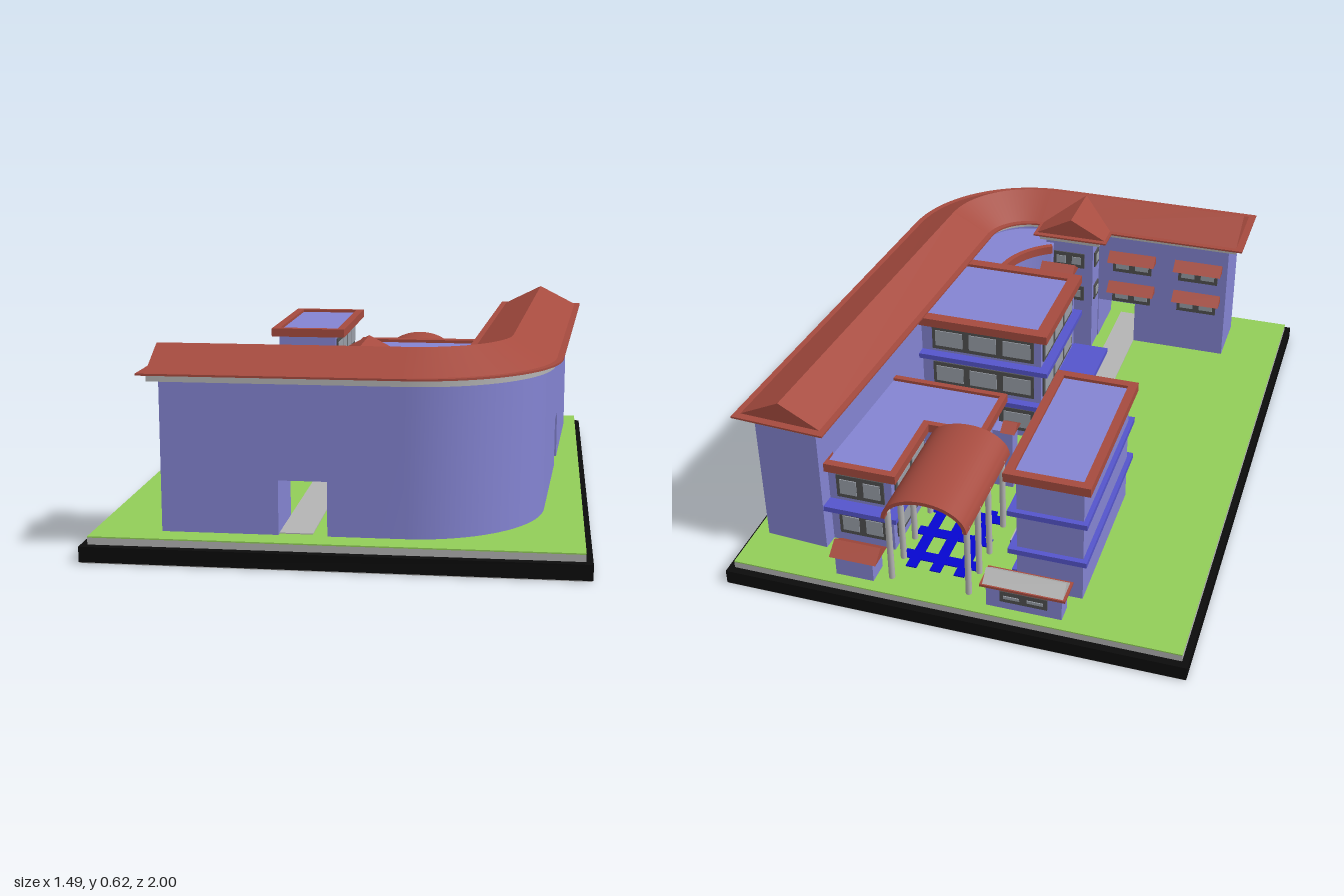
import * as THREE from 'three';
import { toCreasedNormals } from 'three/addons/utils/BufferGeometryUtils.js';

const mat = (name, color) => {
  const m = new THREE.MeshStandardMaterial({ color });
  m.name = name;
  return m;
};

export function createModel() {
  const root = new THREE.Group();
  const wall = mat('lavender wall', 0x8484d2), roof = mat('red roof', 0xa64b3f);
  const grass = mat('grass green', 0x92ce58), black = mat('black base', 0x0b0b0b);
  const grey = mat('concrete grey', 0xb4b4b4), ledgeBlue = mat('ledge blue', 0x5555cc);
  const paving = mat('bright blue', 0x0505d0), frame = mat('dark frame', 0x505050);
  const glass = mat('pale glass', 0x9a9fa8);
  const G = 0.075; // ground level

  const add = (name, geo, material, parent = root) => {
    const m = new THREE.Mesh(geo, material);
    m.name = name;
    parent.add(m);
    return m;
  };
  const box = (name, m, x0, x1, y0, y1, z0, z1) => add(name,
    new THREE.BoxGeometry(x1 - x0, y1 - y0, z1 - z0)
      .translate((x0 + x1) / 2, (y0 + y1) / 2, (z0 + z1) / 2), m);
  // horizontal slab from [x, z] outline, optional hole
  const toShape = pts => new THREE.Shape(pts.map(p => new THREE.Vector2(...p)));
  const slab = (name, m, pts, y0, y1, hole) => {
    const s = toShape(pts);
    if (hole) s.holes.push(toShape(hole));
    const g = new THREE.ExtrudeGeometry(s, { depth: y1 - y0, bevelEnabled: false });
    return add(name, toCreasedNormals(g.rotateX(Math.PI / 2).translate(0, y1, 0), 0.4), m);
  };
  const rect = (x0, x1, z0, z1) => [[x0, z0], [x1, z0], [x1, z1], [x0, z1]];
  const flatRoof = (name, outer, inner, y0, y1) => {
    slab(name + 'RoofRim', roof, outer, y0, y1, inner);
    slab(name + 'RoofDeck', wall, inner, y0, y1 - 0.01);
  };
  // gable prism, ridge along 'x' or 'z'
  const gable = (name, m, x0, x1, z0, z1, y0, y1, axis) => {
    const w = axis === 'z' ? x1 - x0 : z1 - z0, len = axis === 'z' ? z1 - z0 : x1 - x0;
    const g = new THREE.ExtrudeGeometry(toShape([[-w / 2, y0], [w / 2, y0], [0, y1]]),
      { depth: len, bevelEnabled: false }).translate(0, 0, -len / 2);
    if (axis === 'x') g.rotateY(Math.PI / 2);
    return add(name, g.translate((x0 + x1) / 2, 0, (z0 + z1) / 2), m);
  };
  // row of framed windows on a wall facing +-x or +-z
  const windows = (axis, at, dir, a0, a1, y0, y1, n) => {
    const plate = (name, m, b0, b1, c0, c1, d) => {
      const p0 = Math.min(at, at + dir * d), p1 = Math.max(at, at + dir * d);
      if (axis === 'x') box(name, m, p0, p1, c0, c1, b0, b1);
      else box(name, m, b0, b1, c0, c1, p0, p1);
    };
    plate('windowFrame', frame, a0, a1, y0, y1, 0.005);
    const step = (a1 - a0) / n;
    for (let i = 0; i < n; i++)
      plate('windowPane', glass, a0 + i * step + 0.012, a0 + (i + 1) * step - 0.012, y0 + 0.015, y1 - 0.015, 0.008);
  };

  // site
  box('base', black, -0.745, 0.745, 0.003, 0.05, -1, 1);
  box('baseUnderside', grey, -0.743, 0.743, 0, 0.003, -0.998, 0.998);
  box('siteSlab', grey, -0.725, 0.725, 0.05, 0.071, -0.975, 0.975);
  box('lawn', grass, -0.725, 0.725, 0.071, G, -0.975, 0.975);
  box('path', grey, -0.17, -0.07, G, 0.078, -0.26, 0.88);
  box('pathBranch', grey, -0.07, 0, G, 0.078, -0.26, -0.2);
  for (const x of [0.0, 0.08, 0.16]) box('paving', paving, x, x + 0.035, G, 0.079, -0.84, -0.5);
  for (const z of [-0.8, -0.68, -0.56]) box('pavingBand', paving, -0.03, 0.22, G, 0.0785, z, z + 0.04);

  // long wing: a straight run, a rounded corner and a slightly splayed arm
  const L1 = 0.775, R = 0.3, TILT = 0.057, SWEEP = Math.PI / 2 - TILT, L2 = L1 + R * SWEEP, END = L2 + 1.38;
  const station = s => {
    const a = s < L1 ? Math.PI / 2 : Math.PI / 2 - Math.min((s - L1) / R, SWEEP);
    const n = [Math.cos(a), Math.sin(a)];
    const run = s < L1 ? s - L1 : Math.max(0, s - L2);
    return { p: [0.2 + R * n[0] + run * n[1], 0.49 + R * n[1] - run * n[0]], n };
  };
  const sweep = (name, m, s0, s1, profile) => {
    const stops = [s0];
    for (let i = 0; i <= 20; i++) {
      const s = L1 + (L2 - L1) * i / 20;
      if (s > s0 && s < s1) stops.push(s);
    }
    stops.push(s1);
    const rings = stops.map(s => {
      const { p, n } = station(s);
      return profile.map(([o, y]) => [p[0] + n[0] * o, y, p[1] + n[1] * o]);
    });
    const v = [], tri = (...c) => c.forEach(q => v.push(...q)), k = profile.length;
    for (let i = 0; i < rings.length - 1; i++) for (let j = 0; j < k; j++) {
      const a = rings[i], b = rings[i + 1], j2 = (j + 1) % k;
      tri(a[j], b[j], b[j2]);
      tri(a[j], b[j2], a[j2]);
    }
    const first = rings[0], last = rings[rings.length - 1];
    for (let j = 1; j < k - 1; j++) {
      tri(first[0], first[j], first[j + 1]);
      tri(last[0], last[j + 1], last[j]);
    }
    const g = new THREE.BufferGeometry();
    g.setAttribute('position', new THREE.Float32BufferAttribute(v, 3));
    return add(name, toCreasedNormals(g, 0.3), m);
  };
  const band = (w, y0, y1) => [[-w, y0], [w, y0], [w, y1], [-w, y1]];
  const gates = [[0.405, 0.55], [1.823, 1.968]], W0 = 0.055, W1 = END - 0.05;
  let from = W0;
  for (const [g0, g1] of gates) {
    sweep('wingWall', wall, from, g0, band(0.105, G, 0.53));
    sweep('gateLintel', wall, g0, g1, band(0.105, 0.24, 0.53));
    from = g1;
  }
  sweep('wingWall', wall, from, W1, band(0.105, G, 0.53));
  sweep('wingCornice', grey, 0.025, END - 0.025, band(0.13, 0.53, 0.551));
  sweep('wingEaves', roof, 0, END, band(0.155, 0.551, 0.557));
  sweep('wingRoof', roof, 0.025, END - 0.025, [[-0.135, 0.557], [0.135, 0.557], [0, 0.625]]);

  // courtyard windows with awnings on the front wing
  for (const x of [-0.41, -0.155]) for (const y of [0.44, 0.31]) {
    windows('z', 0.685, -1, x - 0.075, x + 0.075, y - 0.065, y - 0.008, 2);
    gable('awning', roof, x - 0.09, x + 0.09, 0.64, 0.72, y - 0.01, y + 0.022, 'x');
  }

  // projecting stair bay with cross gable
  box('bayWall', wall, -0.022, 0.16, G, 0.53, 0.59, 0.7);
  box('bayCornice', grey, -0.05, 0.18, 0.53, 0.551, 0.57, 0.7);
  box('bayEaves', roof, -0.08, 0.2, 0.551, 0.557, 0.55, 0.72);
  gable('bayGable', roof, -0.07, 0.19, 0.57, 0.79, 0.557, 0.625, 'z');
  for (const y of [0.42, 0.28]) {
    windows('x', -0.022, -1, 0.61, 0.665, y, y + 0.06, 1);
    windows('z', 0.59, -1, 0.01, 0.13, y, y + 0.06, 2);
  }

  // curved infill block in the inner corner
  const arc = r => Array.from({ length: 13 }, (_, i) => {
    const a = i / 12 * 1.05;
    return [r * Math.cos(a), 0.33 + r * Math.sin(a)];
  });
  const corner = r => [...arc(r), [0.14, 0.7], [0.4, 0.68], [0.44, 0.33]];
  slab('curvedBlock', wall, corner(0.262), G, 0.49);
  slab('curvedDeck', wall, corner(0.255), 0.49, 0.51);
  slab('curvedRim', roof, [...arc(0.265), ...arc(0.245).reverse()], 0.49, 0.52);
  slab('curvedLedge', ledgeBlue, corner(0.245), 0.36, 0.378);

  // centre block
  box('centreWall', wall, -0.015, 0.42, G, 0.49, -0.06, 0.335);
  flatRoof('centre', rect(-0.043, 0.42, -0.088, 0.36), rect(0, 0.42 - 0.005, -0.048, 0.322), 0.49, 0.52);
  box('centreLedge', ledgeBlue, -0.047, 0.42, 0.36, 0.378, -0.095, 0.355);
  box('centreLedge', ledgeBlue, -0.04, 0.42, 0.21, 0.228, -0.09, 0.355);
  box('centreCanopy', ledgeBlue, -0.145, -0.02, 0.21, 0.228, -0.085, 0.36);
  for (const y of [0.39, 0.245, 0.1]) {
    windows('x', -0.015, -1, -0.04, 0.315, y, y + 0.09, 3);
    windows('z', -0.06, -1, 0.01, 0.38, y, y + 0.09, 3);
  }
  windows('z', 0.335, 1, 0.13, 0.24, 0.39, 0.48, 1);
  // stair tower on the centre block
  box('stairTower', wall, 0.005, 0.11, G, 0.5, 0.33, 0.43);
  gable('stairTowerRoof', roof, -0.005, 0.12, 0.355, 0.445, 0.5, 0.535, 'x');

  // tall block on the open side
  box('tallWall', wall, -0.38, -0.17, G, 0.49, -0.825, -0.285);
  box('tallPlinth', ledgeBlue, -0.375, -0.15, G, 0.13, -0.815, -0.295);
  flatRoof('tall', rect(-0.405, -0.135, -0.848, -0.265), rect(-0.377, -0.163, -0.82, -0.293), 0.49, 0.52);
  for (const y of [0.36, 0.215]) {
    box('tallLedge', ledgeBlue, -0.395, -0.145, y, y + 0.018, -0.843, -0.257);
    windows('x', -0.17, 1, -0.8, -0.31, y + 0.028, y + 0.118, 4);
  }
  box('sideStep', frame, -0.15, -0.09, G, 0.097, -0.65, -0.36);
  box('sideStepTop', grey, -0.15, -0.09, 0.097, 0.1, -0.65, -0.36);

  // low L-shaped block against the arm
  const ell = (x, z0, xi, zi, z1) => [[x, z1], [x, zi], [xi, zi], [xi, z0], [0.47, z0], [0.47, z1]];
  slab('lowWall', wall, ell(0.065, -0.775, 0.255, -0.48, -0.285), G, 0.36);
  flatRoof('low', ell(0.04, -0.8, 0.23, -0.507, -0.265),
    [[0.06, -0.285], [0.06, -0.487], [0.253, -0.487], [0.253, -0.775], [0.465, -0.775], [0.465, -0.285]], 0.36, 0.39);
  slab('lowLedge', ledgeBlue, ell(0.03, -0.825, 0.225, -0.51, -0.257), 0.222, 0.24);
  for (const y of [0.255, 0.11]) {
    windows('z', -0.775, -1, 0.28, 0.44, y, y + 0.085, 2);
    windows('x', 0.255, -1, -0.75, -0.5, y, y + 0.085, 2);
    windows('x', 0.065, -1, -0.46, -0.38, y, y + 0.085, 1);
    windows('z', -0.285, 1, 0.1, 0.4, y, y + 0.085, 3);
  }
  box('porchWall', wall, -0.005, 0.07, G, 0.3, -0.355, -0.3);
  gable('porchRoof', roof, -0.015, 0.035, -0.365, -0.29, 0.3, 0.325, 'x');

  // barrel-vaulted entrance canopy on posts
  const vault = new THREE.Shape();
  vault.absellipse(0.09, 0.33, 0.137, 0.09, 0, Math.PI, false);
  vault.lineTo(-0.035, 0.33);
  vault.absellipse(0.09, 0.33, 0.125, 0.078, Math.PI, 0, true);
  const vaultGeo = new THREE.ExtrudeGeometry(vault, { depth: 0.42, bevelEnabled: false, curveSegments: 18 });
  add('barrelRoof', toCreasedNormals(vaultGeo.translate(0, 0, -0.93), 0.4), roof);
  for (const x of [-0.037, 0.217]) for (const z of [-0.9, -0.8, -0.7, -0.56])
    add('canopyPost', new THREE.CylinderGeometry(0.01, 0.01, 0.265, 12).translate(x, G + 0.1325, z), grey);

  // gatehouses
  box('guardWall', wall, -0.345, -0.105, G, 0.16, -0.935, -0.875);
  box('guardEaves', roof, -0.36, -0.09, 0.16, 0.168, -0.953, -0.862);
  gable('guardRoof', grey, -0.352, -0.098, -0.948, -0.867, 0.168, 0.2, 'x');
  windows('z', -0.935, -1, -0.3, -0.15, 0.105, 0.145, 2);
  box('kioskWall', wall, 0.265, 0.39, G, 0.15, -0.935, -0.86);
  gable('kioskRoof', roof, 0.25, 0.405, -0.947, -0.85, 0.148, 0.182, 'x');

  return root;
}
